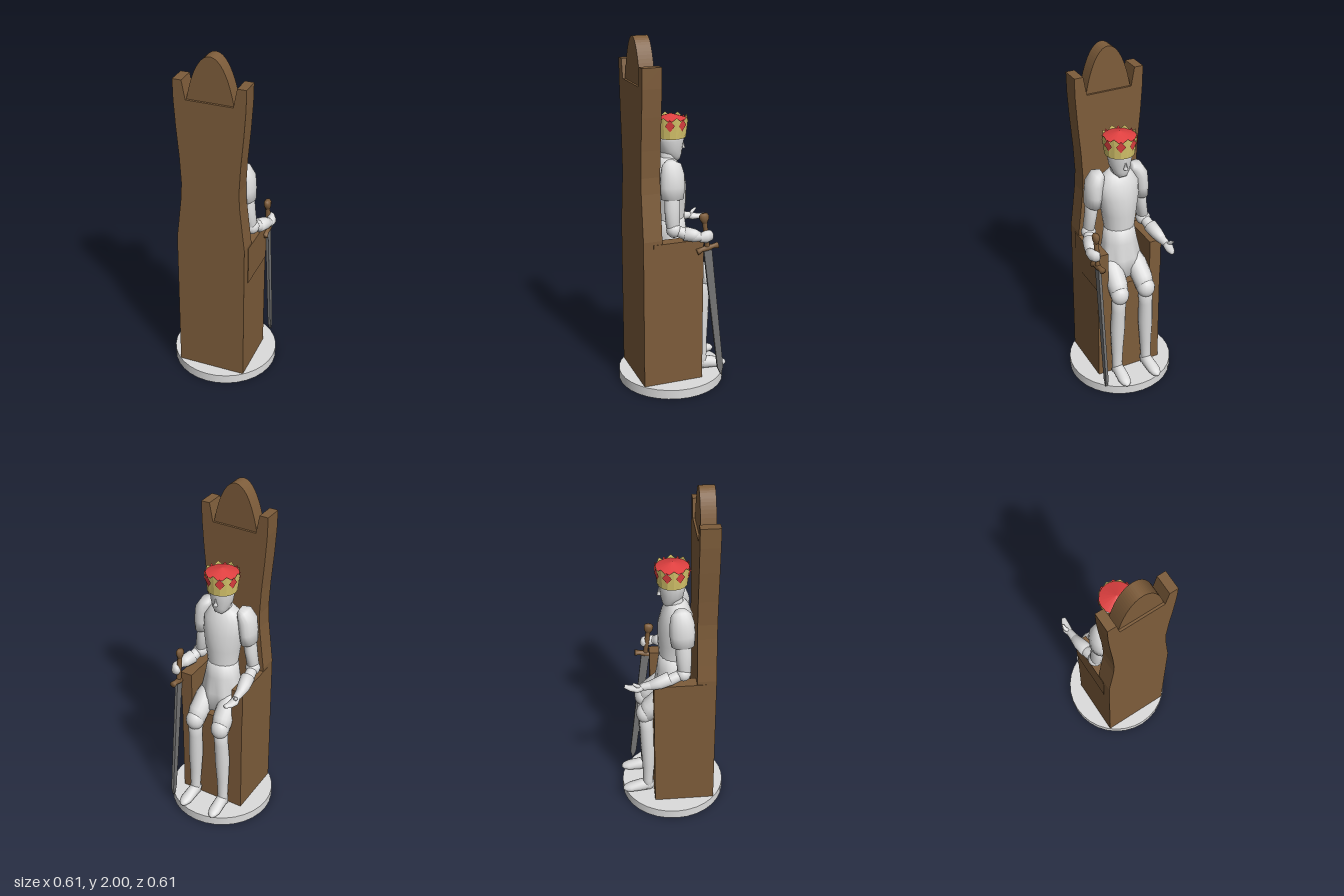
import * as THREE from 'three';

const mat = (name, color, extra = {}) => {
  const m = new THREE.MeshStandardMaterial({ color, ...extra });
  m.name = name;
  return m;
};

export function createModel() {
  const wood = mat('wood', 0x7d5c3a);
  const armour = mat('pale armour', 0xdcdcdc);
  const steel = mat('dark steel', 0x747474);
  const gold = mat('gold', 0xd8c66c, { side: THREE.DoubleSide });
  const red = mat('red cloth', 0xe04040, { side: THREE.DoubleSide });
  const model = new THREE.Group();
  model.name = 'seatedKing';

  const add = (name, geometry, material, parent = model) => {
    const mesh = new THREE.Mesh(geometry, material);
    mesh.name = name;
    parent.add(mesh);
    return mesh;
  };
  const box = (name, material, x0, x1, y0, y1, z0, z1) =>
    add(name, new THREE.BoxGeometry(x1 - x0, y1 - y0, z1 - z0), material)
      .position.set((x0 + x1) / 2, (y0 + y1) / 2, (z0 + z1) / 2);

  // Smooth swept body: each section is [x, y, z, sideRadius, depthRadius]
  const sweep = (sections, sides = 16) => {
    const P = sections.map(s => new THREE.Vector3(s[0], s[1], s[2]));
    const X = new THREE.Vector3(1, 0, 0), pos = [], idx = [];
    sections.forEach((s, i) => {
      const t = P[Math.min(i + 1, P.length - 1)].clone().sub(P[Math.max(i - 1, 0)]).normalize();
      const v = t.clone().cross(X).normalize(), u = v.clone().cross(t);
      for (let j = 0; j < sides; j++) {
        const a = j / sides * Math.PI * 2;
        const p = P[i].clone().addScaledVector(u, s[3] * Math.cos(a)).addScaledVector(v, (s[4] ?? s[3]) * Math.sin(a));
        pos.push(p.x, p.y, p.z);
      }
    });
    for (let i = 0; i < P.length - 1; i++) for (let j = 0; j < sides; j++) {
      const a = i * sides + j, b = i * sides + (j + 1) % sides;
      idx.push(a, b, a + sides, b, b + sides, a + sides);
    }
    const n = P.length * sides, last = n - sides;
    [P[0], P[P.length - 1]].forEach(p => pos.push(p.x, p.y, p.z));
    for (let j = 0; j < sides; j++) {
      const k = (j + 1) % sides;
      idx.push(n, k, j, n + 1, last + j, last + k);
    }
    const g = new THREE.BufferGeometry();
    g.setAttribute('position', new THREE.Float32BufferAttribute(pos, 3));
    g.setIndex(idx);
    g.computeVertexNormals();
    return g;
  };
  const extrude = (shape, z0, z1) =>
    new THREE.ExtrudeGeometry(shape, { depth: z1 - z0, bevelEnabled: false, curveSegments: 16 }).translate(0, 0, z0);

  // Plinth
  add('plinth', new THREE.CylinderGeometry(0.305, 0.305, 0.055, 32).translate(0, 0.0275, 0), armour);

  // Throne: seat block, armrests, waisted back and arched crest
  box('seatBlock', wood, -0.198, 0.198, 0.055, 0.67, -0.12, 0.15);
  for (const s of [-1, 1]) box('armrest', wood, s * 0.166 - 0.035, s * 0.166 + 0.035, 0.67, 0.9, -0.12, 0.17);
  const edge = [[0.198, 0.055], [0.198, 0.92], [0.186, 1.02], [0.168, 1.18], [0.164, 1.27], [0.172, 1.42],
    [0.188, 1.6], [0.198, 1.75], [0.2, 1.86], [0.15, 1.86], [0.13, 1.755]];
  const outline = [...edge, ...edge.map(([x, y]) => [-x, y]).reverse()];
  add('throneBack', extrude(new THREE.Shape(outline.map(p => new THREE.Vector2(...p))), 0.12, 0.228), wood);
  const arch = new THREE.Shape();
  arch.moveTo(-0.13, 1.75);
  arch.lineTo(0.13, 1.75);
  arch.bezierCurveTo(0.105, 1.89, 0.06, 2, 0, 2);
  arch.bezierCurveTo(-0.06, 2, -0.105, 1.89, -0.13, 1.75);
  add('crest', extrude(arch, 0.132, 0.215), wood);

  // Torso, skirt and head
  add('torso', sweep([[0, 0.88, 0.01, 0.09, 0.085], [0, 0.98, 0.01, 0.086, 0.085], [0, 1.08, 0.012, 0.1, 0.095],
    [0, 1.18, 0.015, 0.117, 0.097], [0, 1.26, 0.025, 0.12, 0.085], [0, 1.31, 0.03, 0.085, 0.06],
    [0, 1.335, 0.03, 0.045, 0.04]], 20), armour);
  const skirt = sweep([[0, 0.69, -0.005, 0.12, 0.105], [0, 0.8, 0, 0.118, 0.1], [0, 0.9, 0.005, 0.1, 0.092],
    [0, 0.99, 0.01, 0.086, 0.086]], 32);
  const sp = skirt.attributes.position;
  for (let i = 0; i < sp.count; i++) { // soft pleats, deeper towards the hem
    const k = 1 + (i % 4 < 2 ? -1 : 1) * 0.25 * Math.max(0, 0.92 - sp.getY(i));
    sp.setXYZ(i, sp.getX(i) * k, sp.getY(i), sp.getZ(i) * k);
  }
  skirt.computeVertexNormals();
  add('skirt', skirt, armour);
  add('neck', sweep([[0, 1.27, 0.03, 0.055], [0, 1.33, 0.015, 0.045], [0, 1.4, 0.01, 0.045]]), armour);
  add('head', sweep([[0, 1.315, -0.04, 0.02, 0.018], [0, 1.335, -0.025, 0.042, 0.042], [0, 1.38, -0.004, 0.06, 0.066],
    [0, 1.43, 0, 0.068, 0.074], [0, 1.47, 0, 0.068, 0.074]]), armour);
  add('nose', new THREE.ConeGeometry(0.013, 0.05, 6).translate(0, 1.4, -0.072), armour);

  // Crown: flared gold wall with points, red diamonds and a red cap
  const crown = new THREE.Group();
  crown.name = 'crown';
  model.add(crown);
  const N = 16, wall = new THREE.CylinderGeometry(0.094, 0.083, 0.1, N, 1, true).toNonIndexed();
  const wp = wall.attributes.position;
  for (let i = 0; i < wp.count; i++) {
    const step = Math.round(Math.atan2(wp.getX(i), wp.getZ(i)) / (Math.PI * 2) * N);
    const top = step % 2 === 0 ? 1.565 : 1.535;
    wp.setY(i, wp.getY(i) > 0 ? top : 1.445);
  }
  wall.computeVertexNormals();
  add('crownWall', wall, gold, crown);
  add('crownCap', new THREE.ConeGeometry(0.092, 0.03, N).translate(0, 1.56, 0), red, crown);
  for (let i = 0; i < 8; i++) {
    const g = new THREE.CircleGeometry(0.031, 4).scale(0.85, 1.1, 1).rotateX(0.1).translate(0, 1.522, 0.0945);
    add('crownDiamond', g.rotateY((i + 0.5) * Math.PI / 4), red, crown);
  }

  // Shoulders, upper arms and legs, mirrored
  for (const s of [-1, 1]) {
    add('pauldron', sweep([[s * 0.09, 1.325, 0.035, 0.02, 0.03], [s * 0.115, 1.315, 0.037, 0.04, 0.055],
      [s * 0.135, 1.27, 0.04, 0.05, 0.067], [s * 0.143, 1.2, 0.042, 0.047, 0.07], [s * 0.147, 1.135, 0.044, 0.043, 0.064]]), armour);
    add('upperArm', sweep([[s * 0.145, 1.2, 0.045, 0.036, 0.042], [s * 0.155, 1.08, 0.048, 0.034, 0.044],
      [s * 0.17, 0.98, 0.05, 0.032, 0.038]]), armour);
    add('elbow', new THREE.SphereGeometry(0.042, 14, 10).translate(s * 0.172, 0.965, 0.045), armour);
    add('thigh', sweep([[s * 0.06, 0.8, 0.02, 0.055], [s * 0.075, 0.74, -0.06, 0.06], [s * 0.08, 0.68, -0.13, 0.058],
      [s * 0.083, 0.62, -0.165, 0.05]]), armour);
    add('knee', new THREE.SphereGeometry(1, 16, 12).scale(0.053, 0.06, 0.05).translate(s * 0.083, 0.635, -0.167), armour);
    add('shin', sweep([[s * 0.083, 0.62, -0.16, 0.043], [s * 0.087, 0.53, -0.158, 0.04], [s * 0.09, 0.4, -0.152, 0.043],
      [s * 0.093, 0.25, -0.152, 0.035], [s * 0.095, 0.14, -0.155, 0.03], [s * 0.096, 0.08, -0.158, 0.034]]), armour);
    add('foot', sweep([[s * 0.093, 0.09, -0.125, 0.022, 0.025], [s * 0.094, 0.1, -0.15, 0.034, 0.042],
      [s * 0.096, 0.092, -0.2, 0.035, 0.036], [s * 0.099, 0.083, -0.26, 0.036, 0.027],
      [s * 0.1, 0.078, -0.29, 0.026, 0.02], [s * 0.1, 0.075, -0.305, 0.01, 0.008]]), armour);
  }

  // Forearm and hand on the sword side
  add('leftForearm', sweep([[0.175, 0.965, 0.04, 0.03], [0.195, 0.94, -0.02, 0.033], [0.215, 0.93, -0.06, 0.032],
    [0.232, 0.928, -0.1, 0.022]]), armour);
  add('leftCuff', sweep([[0.192, 0.945, -0.01, 0.04], [0.212, 0.935, -0.06, 0.036], [0.222, 0.93, -0.085, 0.026]]), armour);
  add('leftHand', sweep([[0.232, 0.925, -0.085, 0.022, 0.026], [0.23, 0.925, -0.12, 0.027, 0.035],
    [0.215, 0.925, -0.148, 0.026, 0.032], [0.2, 0.925, -0.158, 0.014, 0.022]]), armour);

  // Forearm and open palm on the other side
  add('rightForearm', sweep([[-0.175, 0.965, 0.04, 0.03], [-0.183, 0.935, -0.03, 0.032], [-0.192, 0.915, -0.12, 0.028],
    [-0.198, 0.91, -0.19, 0.02]]), armour);
  add('rightCuff', sweep([[-0.181, 0.945, -0.03, 0.04], [-0.19, 0.925, -0.09, 0.036], [-0.195, 0.915, -0.14, 0.026]]), armour);
  add('rightHand', sweep([[-0.198, 0.908, -0.18, 0.02, 0.018], [-0.2, 0.9, -0.21, 0.026, 0.02],
    [-0.192, 0.9, -0.245, 0.022, 0.015], [-0.182, 0.908, -0.28, 0.012, 0.01]]), armour);
  add('rightThumb', sweep([[-0.2, 0.91, -0.195, 0.011], [-0.212, 0.93, -0.215, 0.011], [-0.212, 0.945, -0.235, 0.006]], 8), armour);

  // Sword, point resting on the plinth
  const sword = new THREE.Group();
  sword.name = 'sword';
  sword.position.set(0.205, 0.85, -0.14);
  sword.rotation.x = 0.118;
  model.add(sword);
  const blade = new THREE.Shape([[-0.024, 0.01], [-0.017, -0.75], [0, -0.8], [0.017, -0.75], [0.024, 0.01]]
    .map(p => new THREE.Vector2(...p)));
  add('blade', extrude(blade, -0.008, 0.008).rotateY(Math.PI / 2), steel, sword);
  add('guard', sweep([[0, -0.01, 0.062, 0.02, 0.018], [0, -0.003, 0.035, 0.015, 0.013], [0, 0, 0, 0.018, 0.017],
    [0, 0.003, -0.035, 0.015, 0.013], [0, 0.002, -0.062, 0.02, 0.018]], 8), wood, sword);
  add('grip', new THREE.CylinderGeometry(0.014, 0.014, 0.16, 10).translate(0, 0.08, 0), wood, sword);
  add('pommel', sweep([[0, 0.145, 0, 0.013], [0, 0.17, 0, 0.02, 0.026], [0, 0.19, 0, 0.02, 0.028], [0, 0.202, 0, 0.013, 0.02]], 10), wood, sword);
  return model;
}
